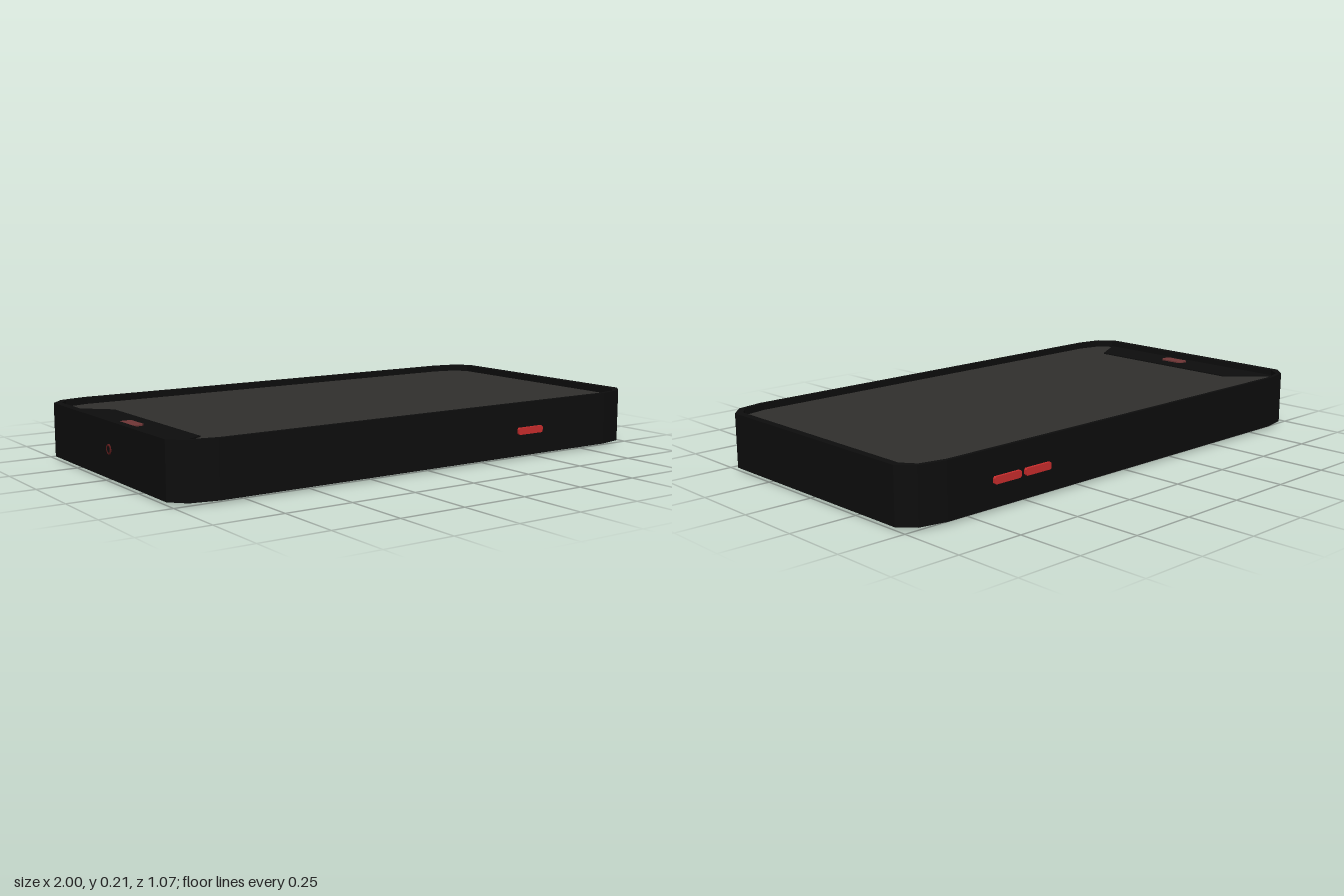
import * as THREE from 'three';

const mat = (color) => new THREE.MeshStandardMaterial({ color, flatShading: true });

// Symmetrical outline with two-step cut corners, from three points of one quarter
function outline(quarter, Type = THREE.Shape) {
  const pts = [];
  const flip = (sx, sy) => quarter.map(([x, y]) => new THREE.Vector2(x * sx, y * sy));
  pts.push(...flip(1, 1).reverse(), ...flip(-1, 1), ...flip(-1, -1).reverse(), ...flip(1, -1));
  // Ordered counter-clockwise: right side, top, left side, bottom
  pts.sort((a, b) => Math.atan2(a.y, a.x) - Math.atan2(b.y, b.x));
  return new Type(pts);
}

// Flat slab lying in the xz plane, between two heights
function slab(name, shape, y0, y1, material) {
  const geo = new THREE.ExtrudeGeometry(shape, { depth: y1 - y0, bevelEnabled: false, curveSegments: 6 });
  geo.rotateX(-Math.PI / 2);
  geo.translate(0, y0, 0);
  const mesh = new THREE.Mesh(geo, material);
  mesh.name = name;
  return mesh;
}

// Small key with clipped corners, centred on its own origin
function keyGeometry(w, h, depth) {
  const x = w / 2, y = h / 2, c = Math.min(w, h) * 0.2;
  const shape = outline([[x, y - c], [x - c, y]]);
  const geo = new THREE.ExtrudeGeometry(shape, { depth, bevelEnabled: false });
  geo.translate(0, 0, -depth / 2);
  return geo;
}

export function createModel() {
  const model = new THREE.Group();
  model.name = 'phone';
  const black = mat(0x0d0d0d);
  const red = mat(0xc82c2c);
  const dullRed = mat(0x703636);
  const darkRed = mat(0x5a1a1a);

  const outer = [[1, 0.45], [0.95, 0.504], [0.85, 0.525]];
  const inner = [[0.972, 0.44], [0.936, 0.49], [0.842, 0.511]];

  // Case, raised rim and sunken screen
  model.add(slab('case', outline(outer), 0.01, 0.18, black));
  const rim = outline(outer);
  rim.holes.push(outline(inner, THREE.Path));
  model.add(slab('rim', rim, 0.18, 0.21, black));
  model.add(slab('screen', outline(inner), 0.179, 0.185, mat(0x302f2d)));

  // Dark panel at one end of the screen, with its home key
  const panel = new THREE.Shape([[-0.972, -0.435], [-0.825, -0.355], [-0.825, 0.305], [-0.972, 0.45]]
    .map(([x, y]) => new THREE.Vector2(x, y)));
  model.add(slab('endPanel', panel, 0.184, 0.189, black));
  const home = new THREE.Mesh(keyGeometry(0.05, 0.108, 0.012), dullRed);
  home.name = 'homeKey';
  home.rotation.x = -Math.PI / 2;
  home.position.set(-0.913, 0.188, 0.023);
  model.add(home);

  // Side keys: one on the front edge, two on the back edge
  for (const [name, x, side] of [['frontKey', 0.46, 1], ['backKeyA', 0.46, -1], ['backKeyB', 0.598, -1]]) {
    const key = new THREE.Mesh(keyGeometry(0.118, 0.026, 0.03), red);
    key.name = name;
    key.position.set(x, 0.104, side * 0.52);
    model.add(key);
  }

  // Round socket on the short end
  const socket = new THREE.Group();
  socket.name = 'socket';
  const ring = new THREE.Mesh(new THREE.TorusGeometry(0.015, 0.004, 6, 12), darkRed);
  ring.name = 'socketRing';
  const plug = new THREE.Mesh(new THREE.CircleGeometry(0.014, 12), black);
  plug.name = 'socketHole';
  plug.position.z = 0.002;
  socket.add(ring, plug);
  socket.rotation.y = -Math.PI / 2;
  socket.position.set(-1, 0.112, 0.03);
  model.add(socket);

  // Oval camera on the underside: stepped ring, inner ring and lens
  const camera = new THREE.Group();
  camera.name = 'rearCamera';
  const disc = (name, rTop, rBottom, y0, y1, material) => {
    const mesh = new THREE.Mesh(new THREE.CylinderGeometry(rTop, rBottom, y1 - y0, 20), material);
    mesh.name = name;
    mesh.position.y = (y0 + y1) / 2;
    camera.add(mesh);
  };
  disc('cameraRing', 0.08, 0.072, 0.004, 0.014, red);
  disc('cameraInnerRing', 0.052, 0.046, 0.002, 0.012, darkRed);
  disc('cameraLens', 0.025, 0.022, 0, 0.01, black);
  camera.scale.x = 0.75;
  camera.position.x = 0.926;
  model.add(camera);

  return model;
}
